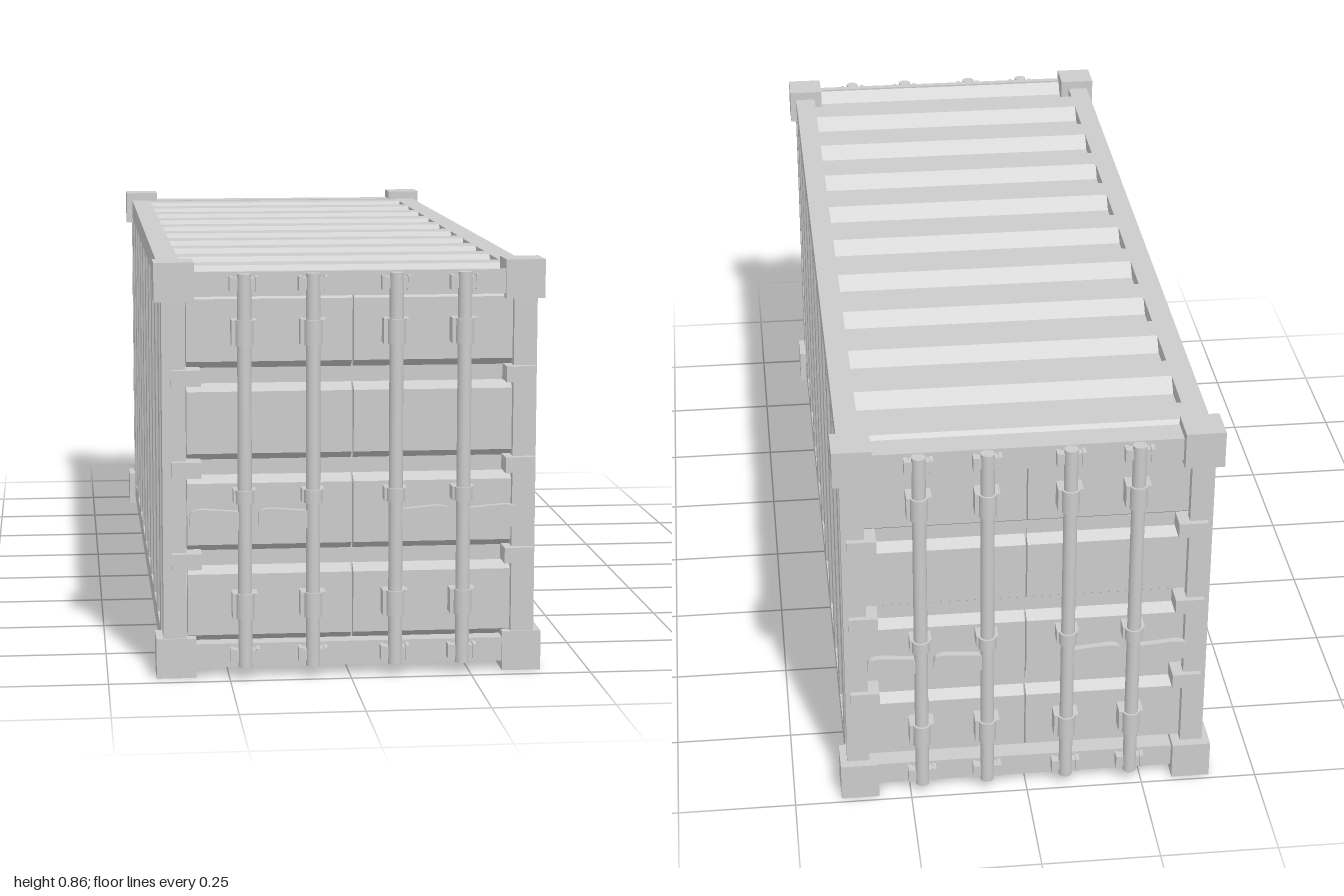
import * as THREE from 'three';

const grey = new THREE.MeshStandardMaterial({ color: 0xcccccc });
const X = new THREE.Vector3(1, 0, 0), Y = new THREE.Vector3(0, 1, 0), Z = new THREE.Vector3(0, 0, 1);

function add(parent, name, geometry) {
  const mesh = new THREE.Mesh(geometry, grey);
  mesh.name = name;
  parent.add(mesh);
  return mesh;
}

// box from its min and max corners
function box(parent, name, x0, x1, y0, y1, z0, z1) {
  const g = new THREE.BoxGeometry(x1 - x0, y1 - y0, z1 - z0);
  return add(parent, name, g.translate((x0 + x1) / 2, (y0 + y1) / 2, (z0 + z1) / 2));
}

function rod(parent, name, r, y0, y1, x, z, sides = 20) {
  const g = new THREE.CylinderGeometry(r, r, y1 - y0, sides);
  return add(parent, name, g.translate(x, (y0 + y1) / 2, z));
}

// Pressed sheet: profile in u (along) and v (outward), extruded along w.
// Each recess starts at "start" plus a multiple of "pitch".
function sheet(parent, name, { from, to, start, width, pitch, slope, depth, face, w0, w1 }, u, v, w) {
  const height = (t) => {
    const s = (((t - start) % pitch) + pitch) % pitch;
    return face - depth * THREE.MathUtils.clamp(Math.min(s, width - s) / slope, 0, 1);
  };
  const stops = [from, to];
  for (let k = -15; k <= 15; k++) {
    for (const d of [0, slope, width - slope, width]) {
      const t = start + k * pitch + d;
      if (t > from + 1e-4 && t < to - 1e-4) stops.push(t);
    }
  }
  stops.sort((a, b) => a - b);
  const back = face - depth - 0.015;
  const pts = stops.map((t) => new THREE.Vector2(t, height(t)));
  pts.unshift(new THREE.Vector2(from, back));
  pts.push(new THREE.Vector2(to, back));
  const g = new THREE.ExtrudeGeometry(new THREE.Shape(pts), { depth: w1 - w0, bevelEnabled: false });
  g.translate(0, 0, w0);
  g.applyMatrix4(new THREE.Matrix4().makeBasis(u, v, w));
  return add(parent, name, g);
}

// Locking bar with guides, collar, cams and a handle pointing to "side"
function lockingBar(x, side) {
  const bar = new THREE.Group();
  bar.name = 'lockingBar';
  const z = 0.981;
  rod(bar, 'bar', 0.0145, 0.025, 0.838, x, z);
  for (const y of [0.128, 0.692]) {
    rod(bar, 'guideSleeve', 0.019, y, y + 0.052, x, z);
    box(bar, 'guideBracket', x - 0.026, x + 0.026, y, y + 0.052, 0.935, 0.985);
  }
  rod(bar, 'handleCollar', 0.019, 0.367, 0.395, x, z);
  box(bar, 'collarBracket', x - 0.023, x + 0.023, 0.367, 0.395, 0.935, 0.983);
  for (const y of [0.037, 0.805]) {
    box(bar, 'cam', x - 0.022, x + 0.022, y, y + 0.024, 0.96, 0.986);
    for (const s of [-1, 1]) {
      const c = x + s * 0.026;
      box(bar, 'camKeeper', c - 0.004, c + 0.004, y - 0.003, y + 0.027, 0.955, 0.99);
    }
  }
  // flat handle widening towards its rounded grip
  const shape = new THREE.Shape();
  shape.moveTo(0, 0.315);
  shape.lineTo(0.085, 0.309);
  shape.quadraticCurveTo(0.113, 0.309, 0.113, 0.323);
  shape.lineTo(0.113, 0.343);
  shape.quadraticCurveTo(0.113, 0.357, 0.085, 0.357);
  shape.lineTo(0, 0.35);
  const g = new THREE.ExtrudeGeometry(shape, { depth: 0.014, bevelEnabled: false, curveSegments: 5 });
  if (side < 0) g.rotateY(Math.PI).translate(0, 0, 0.014);
  add(bar, 'handle', g.translate(x, 0, 0.974));
  return bar;
}

// Door leaves, hinges and locking bars for one end
function doorEnd() {
  const end = new THREE.Group();
  end.name = 'doorEnd';
  const ribs = {
    from: 0.04, to: 0.81, start: 0.593, width: 0.062, pitch: 0.19,
    slope: 0.015, depth: 0.022, face: 0.947,
  };
  sheet(end, 'doorLeaf', { ...ribs, w0: -0.341, w1: -0.002 }, Y, Z, X);
  sheet(end, 'doorLeaf', { ...ribs, w0: 0.002, w1: 0.338 }, Y, Z, X);
  box(end, 'doorSeam', -0.004, 0.004, 0.04, 0.81, 0.9, 0.923);
  for (const s of [-1, 1]) {
    for (const y of [0.23, 0.42, 0.609]) {
      const a = s * 0.313, b = s * 0.374;
      box(end, 'hinge', Math.min(a, b), Math.max(a, b), y, y + 0.033, 0.92, 0.98);
    }
    end.add(lockingBar(s * 0.225, s), lockingBar(s * 0.085, s));
  }
  return end;
}

export function createModel() {
  const model = new THREE.Group();
  model.name = 'shippingContainer';
  const F = 0.963, B = -0.968, W = 0.385, I = 0.337;

  // corrugated side walls and roof
  const ribs = { width: 0.123, pitch: 0.1837, slope: 0.026, depth: 0.03 };
  const wall = { ...ribs, face: W, w0: 0.067, w1: 0.793 };
  sheet(model, 'sideWall', { ...wall, from: -0.945, to: 0.91, start: 0.649 }, Z, X, Y);
  sheet(model, 'sideWall', { ...wall, from: -0.91, to: 0.945, start: -0.772 },
    Z.clone().negate(), X.clone().negate(), Y);
  sheet(model, 'roof', {
    ...ribs, width: 0.116, face: 0.84, from: -0.946, to: 0.91, start: 0.704, w0: -I, w1: I,
  }, Z.clone().negate(), Y, X);

  // frame rails and posts
  for (const s of [-1, 1]) {
    const x0 = s > 0 ? I : -W, x1 = s > 0 ? W : -I;
    box(model, 'bottomSideRail', x0, x1, 0.02, 0.067, B, F);
    box(model, 'topSideRail', x0, x1, 0.793, 0.84, B, F);
    box(model, 'frontPost', x0, x1, 0.067, 0.793, 0.91, F);
    box(model, 'backPost', x0, x1, 0.067, 0.793, B, -0.945);
  }
  box(model, 'frontHeader', -I, I, 0.79, 0.84, 0.946, F);
  box(model, 'backHeader', -I, I, 0.79, 0.84, B, -0.91);
  box(model, 'frontSill', -I, I, 0.02, 0.07, 0.92, F);
  box(model, 'backSill', -I, I, 0.02, 0.07, B, -0.925);
  box(model, 'floor', -I, I, 0.04, 0.06, -0.925, 0.92);

  // corner castings
  for (const [z0, z1] of [[0.886, 0.967], [-0.988, -0.908]]) {
    for (const [x0, x1] of [[-0.4, -0.318], [0.319, 0.4]]) {
      box(model, 'cornerCasting', x0, x1, 0, 0.083, z0, z1);
      box(model, 'cornerCasting', x0, x1, 0.78, 0.86, z0, z1);
    }
  }

  // doors at both ends
  const front = doorEnd();
  front.position.x = 0.007;
  const back = doorEnd();
  back.rotation.y = Math.PI;
  model.add(front, back);
  return model;
}
